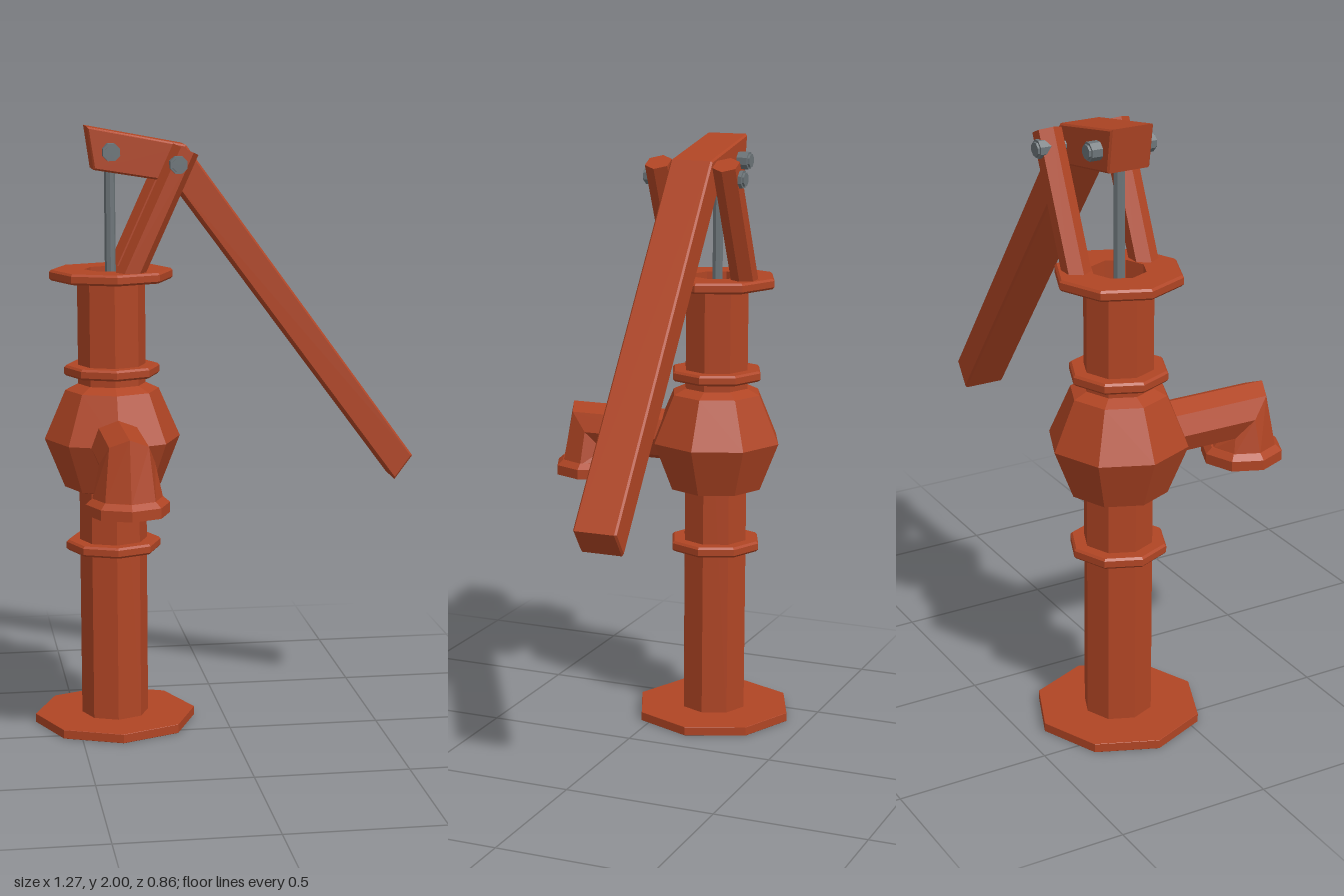
import * as THREE from 'three';

const SIDES = 8;
const PX = -0.37, PZ = -0.16; // axis of the pump column

export function createModel() {
  const group = new THREE.Group();
  const rust = new THREE.MeshStandardMaterial({ color: 0xb04524, flatShading: true });
  rust.name = 'rust red iron';
  const steel = new THREE.MeshStandardMaterial({ color: 0x6c7478, flatShading: true });
  steel.name = 'grey steel';

  const add = (name, geo, mat, x = 0, y = 0, z = 0) => {
    const mesh = new THREE.Mesh(geo, mat);
    mesh.name = name;
    mesh.position.set(x, y, z);
    group.add(mesh);
    return mesh;
  };
  const turned = (name, pts) =>
    add(name, new THREE.LatheGeometry(pts.map(p => new THREE.Vector2(...p)), SIDES), rust, PX, 0, PZ);

  // Hollow octagonal column
  const R = 0.112, IN = 0.087, TOP = 1.535;
  turned('column', [[IN, 0], [R, 0], [R, TOP], [IN, TOP], [IN, 0]]);

  // Plates and collars around the column
  const collar = (name, r, y0, y1, c = 0.007) =>
    turned(name, [[R, y0], [r - c, y0], [r, y0 + c], [r, y1 - c], [r - c, y1], [R, y1]]);
  collar('basePlate', 0.27, 0, 0.03, 0.001);
  collar('lowerCollar', 0.158, 0.595, 0.63);
  collar('upperCollar', 0.158, 1.185, 1.22);
  collar('topFlange', 0.203, 1.5, TOP);

  // Swollen pump chamber
  turned('chamber', [[R, 0.8], [0.16, 0.812], [0.225, 0.975], [0.155, 1.137], [R, 1.157]]);

  // Spout: octagonal rings through a mitred elbow, flaring downwards
  const rings = [
    (s, u) => [0.088 * s, 0.975 + 0.088 * u, -0.03],
    (s, u) => [0.088 * s, 0.975 + 0.088 * u, 0.29 + 0.08 * u],
    (s, u) => [0.112 * s, 0.862, 0.297 + 0.11 * u],
  ];
  const pos = [], idx = [];
  rings.forEach((ring, i) => {
    for (let k = 0; k < SIDES; k++) {
      const a = (k / SIDES) * Math.PI * 2;
      pos.push(...ring(Math.sin(a), Math.cos(a)));
      if (i === 0) continue;
      const n = (k + 1) % SIDES, p = (i - 1) * SIDES, q = i * SIDES;
      idx.push(p + k, q + k, p + n, p + n, q + k, q + n);
    }
  });
  const spout = new THREE.BufferGeometry();
  spout.setAttribute('position', new THREE.Float32BufferAttribute(pos, 3));
  spout.setIndex(idx);
  spout.computeVertexNormals();
  add('spout', spout, rust, PX, 0, 0);

  // Solid lip at the mouth of the spout
  const lip = [[0, 0.817], [0.133, 0.817], [0.133, 0.85], [0.112, 0.868], [0, 0.868]];
  add('spoutLip', new THREE.LatheGeometry(lip.map(p => new THREE.Vector2(...p)), SIDES), rust, PX, 0, 0.297);

  // Bent lever with its long handle
  const outline = [[-0.45, 2], [-0.43, 1.862], [-0.172, 1.82], [0.575, 0.815], [0.635, 0.895], [-0.13, 1.94]];
  const bevel = 0.006, half = 0.072;
  const lever = new THREE.ExtrudeGeometry(new THREE.Shape(outline.map(p => new THREE.Vector2(...p))), {
    depth: 2 * (half - bevel), bevelEnabled: true, bevelSegments: 1,
    bevelSize: bevel, bevelThickness: bevel, bevelOffset: -bevel,
  });
  add('leverHandle', lever, rust, 0, 0, PZ - half + bevel);

  // Pair of hexagonal arms carrying the lever
  const foot = new THREE.Vector3(-0.325, 1.517, 0), tip = new THREE.Vector3(-0.137, 1.929, 0);
  const dir = tip.clone().sub(foot);
  const mid = foot.clone().add(tip).multiplyScalar(0.5);
  for (const side of [1, -1]) {
    const geo = new THREE.CylinderGeometry(0.045, 0.045, dir.length(), 6);
    geo.rotateY(Math.PI / 2);
    geo.rotateZ(-Math.atan2(dir.x, dir.y));
    add(side > 0 ? 'frontArm' : 'rearArm', geo, rust, mid.x, mid.y, PZ + side * 0.117);
  }

  // Pivot bolts: a shank with a head at each end
  const bolt = (name, x, y, reach) => {
    const rod = (n, r, len, z) =>
      add(n, new THREE.CylinderGeometry(r, r, len, SIDES).rotateX(Math.PI / 2).rotateZ(Math.PI / 8), steel, x, y, z);
    rod(name + 'Shank', 0.015, 2 * reach - 0.02, PZ);
    for (const s of [1, -1]) {
      rod(name + 'Head', 0.03, 0.042, PZ + s * (reach - 0.028));
      rod(name + 'Cap', 0.023, 0.014, PZ + s * (reach - 0.007));
    }
  };
  bolt('pistonBolt', -0.375, 1.92, 0.115);
  bolt('pivotBolt', -0.166, 1.882, 0.175);

  // Piston rod hanging from the lever into the column
  add('pistonRod', new THREE.CylinderGeometry(0.018, 0.018, 0.62, SIDES), steel, -0.372, 1.6, PZ);

  return group;
}
